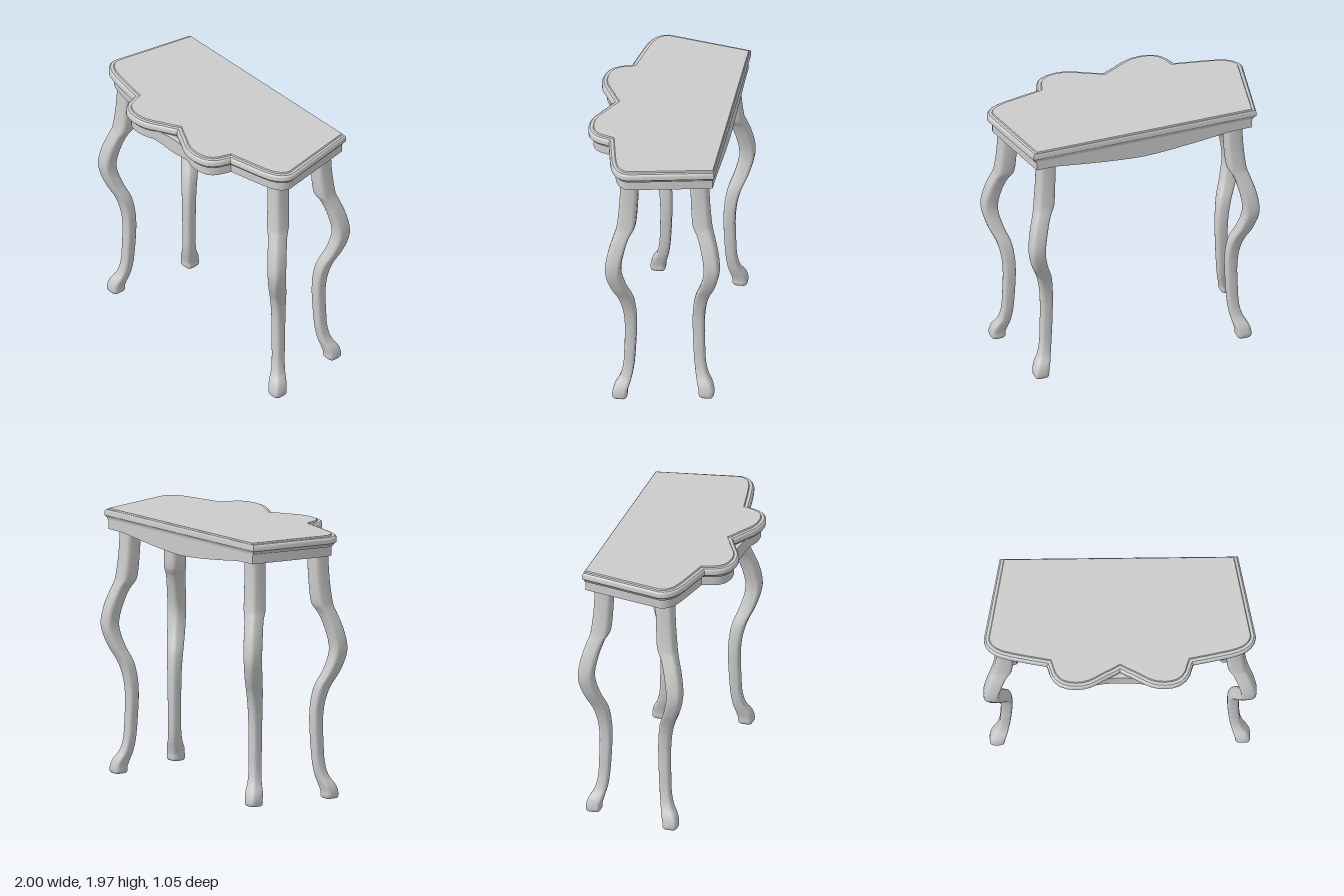
import * as THREE from 'three';
import { toCreasedNormals } from 'three/addons/utils/BufferGeometryUtils.js';

const material = new THREE.MeshStandardMaterial({ color: 0xcccccc });

// Skins rows of points (bottom to top, counter-clockwise from above), with optional end caps
function loft(rows, capped, crease) {
  const n = rows[0].length, index = [];
  for (let j = 0; j < rows.length - 1; j++) {
    for (let i = 0; i < n; i++) {
      const k = (i + 1) % n, a = j * n + i, b = j * n + k;
      index.push(a, b, b + n, a, b + n, a + n);
    }
  }
  if (capped) {
    for (const [row, top] of [[0, false], [rows.length - 1, true]]) {
      const contour = rows[row].map(p => new THREE.Vector2(p.x, -p.z));
      for (const [a, b, c] of THREE.ShapeUtils.triangulateShape(contour, [])) {
        const o = row * n;
        index.push(o + a, o + (top ? b : c), o + (top ? c : b));
      }
    }
  }
  const geometry = new THREE.BufferGeometry().setFromPoints(rows.flat());
  geometry.setIndex(index);
  return toCreasedNormals(geometry, crease);
}

function addMesh(group, name, geometry) {
  const mesh = new THREE.Mesh(geometry, material);
  mesh.name = name;
  group.add(mesh);
}

// Plan outline: scalloped front, rounded front corners, tapering sides, straight back
const BACK = -0.49;
const SCALLOP = [[0.18, 0.487], [0.22, 0.505], [0.27, 0.518], [0.33, 0.522], [0.39, 0.515],
  [0.44, 0.497], [0.48, 0.465], [0.51, 0.42], [0.535, 0.34]];
const SIDE = [[0.68, 0.312], [0.8, 0.287], [0.87, 0.268], [0.92, 0.245], [0.96, 0.213],
  [0.985, 0.175], [0.994, 0.13], [0.87, BACK]];
const REAR = [0.75, 0.66, 0.55, 0.44, 0.33, 0.22, 0.11].map(x => [x, BACK]);

function outline(centre) {
  const half = [...centre, ...SCALLOP, ...SIDE, ...REAR];
  const mirrored = half.slice(1).reverse().map(([x, z]) => [-x, z]);
  return [...half, [0, BACK], ...mirrored];
}

// Moves the outline inward by a mitred inset; the back edge has its own inset
function insetLoop(points, inset, backInset, height) {
  const n = points.length;
  const normal = (a, b) => new THREE.Vector2(b[1] - a[1], a[0] - b[0]).normalize();
  return points.map((p, i) => {
    const n1 = normal(points[(i + n - 1) % n], p);
    const n2 = normal(p, points[(i + 1) % n]);
    const m = n1.clone().add(n2).divideScalar(Math.max(1 + n1.dot(n2), 0.6));
    const x = p[0] + m.x * inset;
    const z = p[1] === BACK ? BACK + backInset : p[1] + m.y * inset;
    return new THREE.Vector3(x, height(x, z), z);
  });
}

// Moulded edge profile: [inset, back inset, y]
function tableTop() {
  const plan = outline([[0, 0.39], [0.04, 0.413], [0.09, 0.437], [0.14, 0.465]]);
  const profile = [[0.025, 0.012, 1.885], [0.02, 0.01, 1.897], [0.012, 0.006, 1.905],
    [0, 0, 1.913], [0, 0, 1.943], [0.004, 0.002, 1.952], [0.013, 0.005, 1.959],
    [0.035, 0.009, 1.96], [0.04, 0.013, 1.97]];
  return loft(profile.map(([i, b, y]) => insetLoop(plan, i, b, () => y)), true, 0.5);
}

// Hollow apron, dipping at the centre of the front and along the back
function apron() {
  const plan = outline([[0, 0.46], [0.035, 0.461], [0.07, 0.464], [0.105, 0.469], [0.14, 0.476]]);
  const bottom = (x, z) => {
    const t = Math.abs(x) / (z < -0.4 ? 0.68 : 0.21);
    if (t >= 1) return 1.813;
    return z < -0.4 ? 1.813 - 0.066 * (1 - t ** 1.4)
      : 1.813 - 0.04 * Math.cos(t * Math.PI / 2) ** 1.5;
  };
  const top = () => 1.89;
  const rows = [[0.037, 0.014, bottom], [0.037, 0.014, top], [0.077, 0.055, top],
    [0.077, 0.055, bottom], [0.037, 0.014, bottom]];
  return loft(rows.map(r => insetLoop(plan, ...r)), false, 0.5);
}

// Cabriole leg: [y, inner, outer] along the diagonal, measured in x
const LEG = [[0, 0.85, 0.943], [0.012, 0.842, 0.95], [0.05, 0.84, 0.95], [0.1, 0.828, 0.936],
  [0.16, 0.813, 0.902], [0.25, 0.8, 0.88], [0.4, 0.79, 0.872], [0.6, 0.784, 0.87],
  [0.72, 0.79, 0.882], [0.83, 0.808, 0.91], [0.95, 0.852, 0.962], [1.1, 0.884, 0.998],
  [1.25, 0.864, 0.981], [1.38, 0.825, 0.944], [1.425, 0.8, 0.93], [1.45, 0.79, 0.925],
  [1.62, 0.776, 0.908], [1.82, 0.77, 0.9], [1.89, 0.77, 0.9]];

function leg(side, front) {
  const spine = new THREE.CatmullRomCurve3(
    LEG.map(([y, a, b]) => new THREE.Vector3((a + b) / 2, y, (b - a) / 2)));
  const round = v => Math.sign(v) * Math.sqrt(Math.abs(v));
  const rows = spine.getPoints(72).map(({ x: c, y, z: r }) => {
    const cx = side * (front ? c : c - 0.107);
    const cz = front ? c - 0.697 : 0.472 - c;
    return Array.from({ length: 24 }, (_, i) => {
      const t = i / 24 * Math.PI * 2;
      return new THREE.Vector3(cx + r * round(Math.sin(t)), y, cz + r * round(Math.cos(t)));
    });
  });
  return loft(rows, true, 0.8);
}

export function createModel() {
  const group = new THREE.Group();
  group.name = 'consoleTable';
  addMesh(group, 'tableTop', tableTop());
  addMesh(group, 'apron', apron());
  for (const [side, label] of [[1, 'Left'], [-1, 'Right']]) {
    addMesh(group, `front${label}Leg`, leg(side, true));
    addMesh(group, `back${label}Leg`, leg(side, false));
  }
  return group;
}
